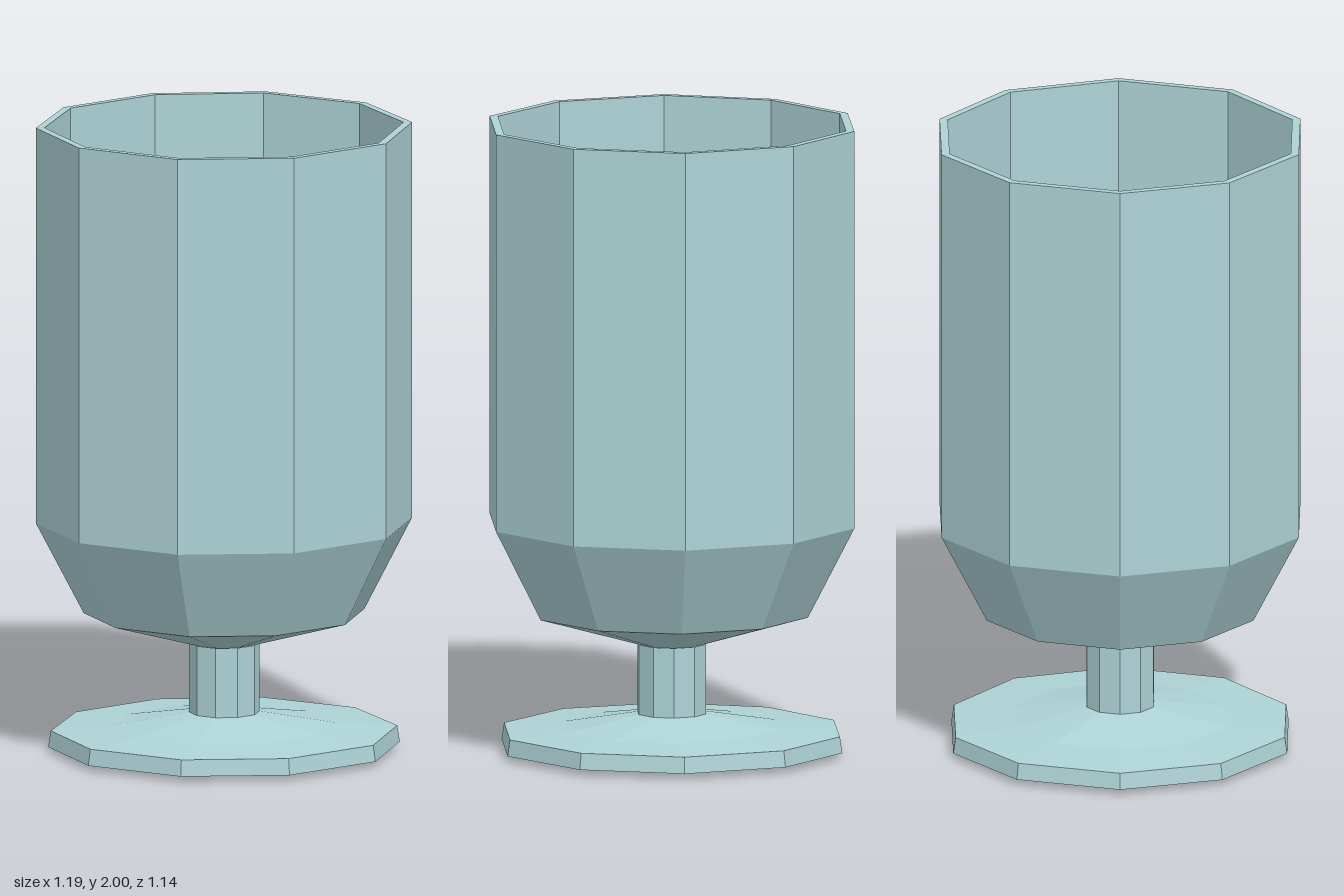
import * as THREE from 'three';

// Corner directions of the slightly uneven ten-sided outline, degrees from +z towards +x
const ANGLES = [-19.8, 16.3, 52.3, 89.5, 126.5, 162, 198, 233.2, 269, 304.4];

// Revolve a [radius, height] profile over the uneven corners, with flat facets
function facetedLathe(name, profile, material) {
  const points = profile.map(([r, y]) => new THREE.Vector2(r, y));
  const lathe = new THREE.LatheGeometry(points, ANGLES.length);
  const position = lathe.attributes.position;
  for (let i = 0; i < position.count; i++) {
    const corner = Math.floor(i / points.length) % ANGLES.length;
    const a = THREE.MathUtils.degToRad(ANGLES[corner]);
    const { x: r, y } = points[i % points.length];
    position.setXYZ(i, r * Math.sin(a), y, r * Math.cos(a));
  }
  const geometry = lathe.toNonIndexed();
  geometry.computeVertexNormals();
  const mesh = new THREE.Mesh(geometry, material);
  mesh.name = name;
  return mesh;
}

export function createModel() {
  const glass = new THREE.MeshStandardMaterial({ color: 0xaed3d6 });
  glass.name = 'pale blue glass';

  const group = new THREE.Group();
  group.name = 'goblet';

  group.add(
    // Foot: shallow underside, thin rim, sloping top
    facetedLathe('foot', [
      [0, 0], [0.555, 0.018], [0.547, 0.07], [0.35, 0.083], [0.11, 0.125],
    ], glass),
    // Stem
    facetedLathe('stem', [[0.111, 0.12], [0.111, 0.347]], glass),
    // Bowl: outside up to the rim, then down the hollow inside
    facetedLathe('bowl', [
      [0.1, 0.345], [0.443, 0.445], [0.594, 0.735], [0.594, 2],
      [0.567, 2], [0.567, 0.742], [0.424, 0.468], [0.095, 0.372], [0, 0.372],
    ], glass),
  );
  return group;
}
